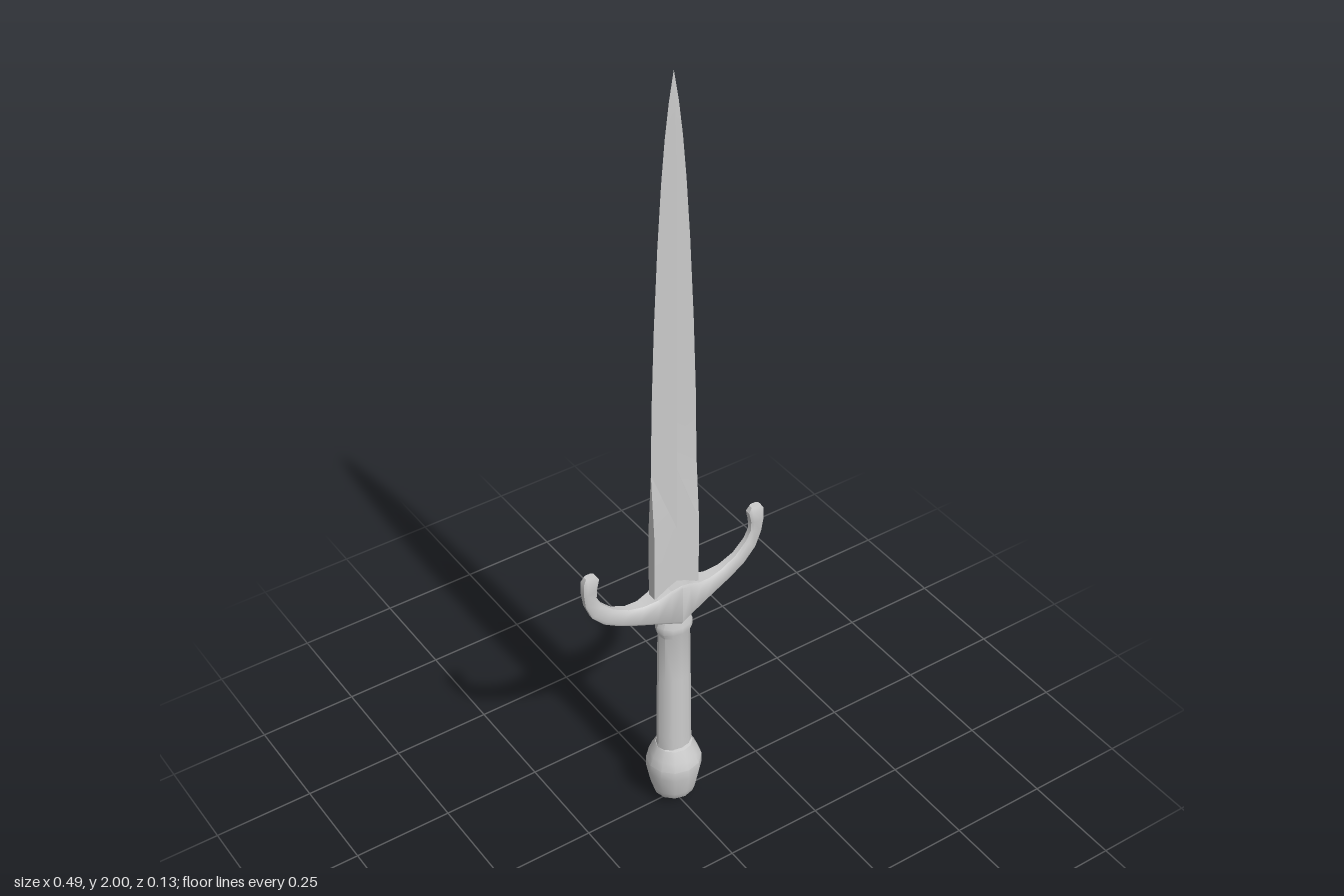
import * as THREE from 'three';
import { toCreasedNormals } from 'three/addons/utils/BufferGeometryUtils.js';

const material = new THREE.MeshStandardMaterial({ color: 0xcccccc });

// Skins a list of equal-sized rings of [x, y, z] points and caps both ends.
function loft(rings, crease) {
  const n = rings[0].length, last = (rings.length - 1) * n, index = [];
  for (let i = 0; i < rings.length - 1; i++) {
    for (let j = 0; j < n; j++) {
      const a = i * n + j, b = i * n + (j + 1) % n;
      index.push(a, b, a + n, b, b + n, a + n);
    }
  }
  for (let j = 1; j < n - 1; j++) {
    index.push(0, j + 1, j, last, last + j, last + j + 1);
  }
  const geometry = new THREE.BufferGeometry();
  geometry.setAttribute('position', new THREE.Float32BufferAttribute(rings.flat(2), 3));
  geometry.setIndex(index);
  return toCreasedNormals(geometry, crease);
}

// Twelve-sided turned part from [radius, y] pairs, flattened front to back.
function turned(profile, depth, crease) {
  const points = profile.map(([r, y]) => new THREE.Vector2(r, y));
  const geometry = new THREE.LatheGeometry(points, 12);
  geometry.scale(1, 1, depth);
  return toCreasedNormals(geometry, crease);
}

export function createModel() {
  const model = new THREE.Group();
  const add = (name, geometry) => {
    const mesh = new THREE.Mesh(geometry, material);
    mesh.name = name;
    model.add(mesh);
  };

  // Blade: [y, half width, edge half thickness, ridge half thickness];
  // a squared base turning into a diamond section.
  const blade = [
    [0.6, 0.061, 0.012, 0.012], [0.85, 0.061, 0.012, 0.012], [1.02, 0.061, 0, 0.012],
    [1.2, 0.058, 0, 0.012], [1.4, 0.051, 0, 0.012], [1.6, 0.041, 0, 0.011],
    [1.75, 0.031, 0, 0.01], [1.85, 0.022, 0, 0.008], [1.93, 0.012, 0, 0.005], [2, 0, 0, 0],
  ];
  add('blade', loft(blade.map(([y, w, e, t]) => [
    [w, y, -e], [0, y, -t], [-w, y, -e], [-w, y, e], [0, y, t], [w, y, e],
  ]), 0.12));

  // Crossguard: stations [upper x, upper y, lower x, lower y, half depth, corner chamfer]
  // from the middle to the curled tip, mirrored to the other arm.
  const arm = [
    [0, 0.695, 0, 0.58, 0.037, 0.1],
    [0.025, 0.685, 0.03, 0.589, 0.032, 0.15],
    [0.055, 0.668, 0.065, 0.599, 0.027, 0.25],
    [0.092, 0.661, 0.11, 0.613, 0.019, 0.3],
    [0.13, 0.667, 0.155, 0.631, 0.014, 0.35],
    [0.17, 0.687, 0.195, 0.654, 0.011, 0.4],
    [0.2, 0.717, 0.226, 0.687, 0.01, 0.4],
    [0.213, 0.743, 0.242, 0.727, 0.01, 0.4],
    [0.212, 0.768, 0.247, 0.764, 0.012, 0.4],
    [0.206, 0.795, 0.246, 0.796, 0.012, 0.4],
    [0.214, 0.808, 0.239, 0.808, 0.008, 0.4],
  ];
  const mirrored = arm.slice(1).reverse().map(([ux, uy, lx, ly, d, c]) => [-ux, uy, -lx, ly, d, c]);
  add('crossguard', loft([...mirrored, ...arm].map(([ux, uy, lx, ly, d, c]) => {
    const k = 1 - c;
    const section = [[1, -k], [1, k], [k, 1], [-k, 1], [-1, k], [-1, -k], [-k, -1], [k, -1]];
    return section.map(([h, z]) => [
      (ux + lx) / 2 + h * (ux - lx) / 2,
      (uy + ly) / 2 + h * (uy - ly) / 2,
      z * d,
    ]);
  }), 0.75));

  // Grip with a small collar under the guard
  add('grip', turned([
    [0.046, 0.16], [0.045, 0.22], [0.043, 0.4], [0.041, 0.535], [0.047, 0.55],
    [0.047, 0.567], [0.04, 0.582], [0.036, 0.61],
  ], 0.78, 0.6));

  // Pommel
  add('pommel', turned([
    [0, 0], [0.03, 0.007], [0.052, 0.026], [0.058, 0.045], [0.069, 0.1],
    [0.069, 0.128], [0.06, 0.15], [0.046, 0.178], [0, 0.19],
  ], 0.96, 0.6));

  return model;
}
